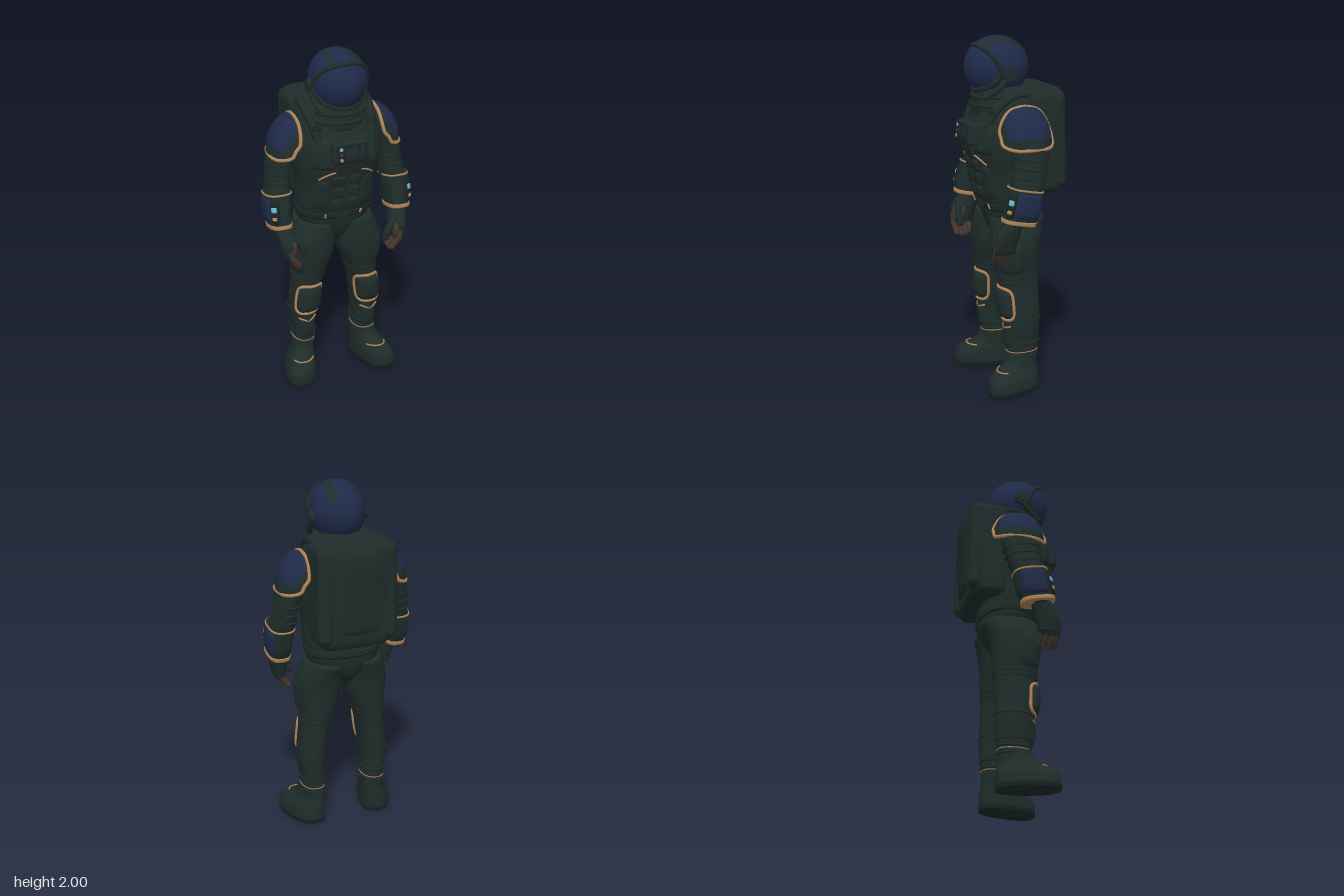
import * as THREE from 'three';
import { mergeVertices } from 'three/addons/utils/BufferGeometryUtils.js';
import { RoundedBoxGeometry } from 'three/addons/geometries/RoundedBoxGeometry.js';

const PI = Math.PI, FRONT = PI / 2;
const mat = (name, color, side = THREE.FrontSide) => Object.assign(new THREE.MeshStandardMaterial({ color, side }), { name });
const suit = mat('suit fabric', 0x1e2c2a, THREE.DoubleSide);
const dark = mat('dark rubber', 0x192422);
const navy = mat('navy shell', 0x1f2a49, THREE.DoubleSide);
const tan = mat('tan trim', 0xb08458);
const brown = mat('glove brown', 0x46362d);
const cyan = mat('cyan display', 0x66b4cf);

// Cross-sections: [y, centreX, centreZ, radiusX, radiusZ, squareness], rising in y
const LEG = [[.10, .19, -.005, .06, .088], [.2, .19, -.008, .061, .087], [.28, .19, -.005, .067, .1], [.4, .195, -.004, .075, .106],
  [.5, .184, .003, .081, .112], [.6, .172, .005, .082, .115], [.7, .156, .01, .1, .125], [.8, .141, .015, .127, .136],
  [.9, .133, .01, .131, .145], [1.0, .11, -.01, .11, .152]];
const BOOT = [[0, .232, .06, .088, .162, 2.5], [.03, .232, .06, .094, .165, 2.5], [.08, .227, .058, .09, .162, 2.4],
  [.115, .216, .044, .08, .147], [.14, .203, .016, .071, .115], [.17, .194, 0, .067, .098], [.22, .19, -.006, .063, .09]];
const ARM = [[1.02, .345, .1, .05, .06], [1.1, .352, .067, .062, .085], [1.2, .346, .04, .071, .088], [1.3, .332, .015, .066, .096],
  [1.4, .316, 0, .071, .104], [1.5, .285, 0, .08, .108], [1.58, .255, 0, .07, .095], [1.62, .235, 0, .04, .06]];
const CUFF = [[1.03, .355, .09, .06, .09, 2.8], [1.1, .356, .068, .066, .096, 2.8], [1.22, .35, .045, .07, .092, 2.8]];
const PALM = [[.87, .328, .155, .032, .056, 2.6], [.95, .333, .147, .047, .068, 2.6], [1.04, .345, .11, .047, .057]];
const PELVIS = [[.84, 0, -.01, .015, .07], [.92, 0, -.01, .1, .125], [1.0, 0, -.01, .2, .152], [1.08, 0, -.005, .215, .16]];
const TORSO = [[1.04, 0, -.005, .212, .16, 2.4], [1.12, 0, .01, .222, .175, 2.4], [1.25, 0, .02, .224, .186, 2.4], [1.38, 0, .032, .245, .2, 2.4],
  [1.5, 0, .024, .25, .196, 2.4], [1.6, 0, .014, .228, .172, 2.4], [1.68, 0, 0, .2, .135, 2.4], [1.73, 0, 0, .15, .1, 2.4]];
const PACK = [[1.13, 0, -.14, .19, .1, 5], [1.16, 0, -.14, .222, .112, 5], [1.4, 0, -.14, .232, .122, 5], [1.62, 0, -.143, .233, .128, 5],
  [1.69, 0, -.145, .228, .12, 5], [1.715, 0, -.15, .2, .095, 5]];
const PANEL = [[1.18, 0, -.2, .12, .04, 3], [1.23, 0, -.2, .158, .066, 3], [1.42, 0, -.2, .168, .078, 3], [1.6, 0, -.2, .168, .086, 3],
  [1.67, 0, -.2, .152, .078, 3], [1.705, 0, -.2, .11, .05, 3]];
const NECK = [[1.58, 0, .035, .175, .16], [1.65, 0, .045, .165, .155], [1.7, 0, .05, .145, .143], [1.73, 0, .055, .13, .13]];

// Smoothly interpolated cross-section at height y
function at(rings, y) {
  const last = rings.length - 1;
  let i = 0;
  while (i < last - 1 && y > rings[i + 1][0]) i++;
  const t = THREE.MathUtils.clamp((y - rings[i][0]) / (rings[i + 1][0] - rings[i][0]), 0, 1);
  const val = (k, j) => rings[Math.min(last, Math.max(0, k))][j] ?? 2.2;
  return [1, 2, 3, 4, 5].map(j => {
    const p = val(i, j), q = val(i + 1, j), m = (q - val(i - 1, j)) / 2, n = (val(i + 2, j) - p) / 2;
    return p + t * m + t * t * (3 * (q - p) - 2 * m - n) + t * t * t * (2 * (p - q) + m + n);
  });
}
// Point on a lofted surface at angle a; off pushes it outward
function on(rings, a, y, off = 0, { tilt = 0, shear = 0 } = {}, k = 1) {
  const [cx, cz, rx, rz, n] = at(rings, y);
  const x = sq(Math.cos(a), n) * (rx + off) * k, z = sq(Math.sin(a), n) * (rz + off) * k;
  return new THREE.Vector3(cx + x + shear * z, y + tilt * z, cz + z);
}
function grid(nu, nv, f) {
  const pos = [], idx = [], w = nv + 1;
  for (let i = 0; i <= nu; i++) for (let j = 0; j <= nv; j++) {
    pos.push(...f(i, j).toArray());
    if (i < nu && j < nv) {
      const p = i * w + j;
      idx.push(p, p + w, p + 1, p + w, p + w + 1, p + 1);
    }
  }
  let g = new THREE.BufferGeometry().setAttribute('position', new THREE.Float32BufferAttribute(pos, 3));
  g.setIndex(idx);
  g = mergeVertices(g, 1e-5);
  g.computeVertexNormals();
  return g;
}
function put(parent, name, geo, material, x = 0, y = 0, z = 0, rx = 0, ry = 0, rz = 0) {
  const m = new THREE.Mesh(geo, material);
  m.name = name; m.position.set(x, y, z); m.rotation.set(rx, ry, rz);
  parent.add(m);
  return m;
}
// Closed loft between two heights
function loft(rings, { y0 = rings[0][0], y1 = rings.at(-1)[0], off = 0, steps = 36, ...bend } = {}) {
  return grid(steps + 2, 40, (i, j) => {
    const y = y0 + (y1 - y0) * THREE.MathUtils.clamp((i - 1) / steps, 0, 1);
    return on(rings, (j % 40) / 40 * 2 * PI, y, off, bend, i === 0 || i === steps + 2 ? 0 : 1);
  });
}
const sq = (v, n) => Math.sign(v) * Math.abs(v) ** (2 / n);
// Rounded raised plate lying on a loft, centred at angle ca and height cy
function plate(rings, ca, cy, ra, ry, h, bend, n = 5) {
  return grid(32, 8, (i, j) => {
    const p = (i % 32) / 32 * 2 * PI, s = j / 8;
    return on(rings, ca + ra * s * sq(Math.cos(p), n), cy + ry * s * sq(Math.sin(p), n), h * (1 - s ** 6) + (j === 8 ? -.002 : .001), bend);
  });
}
const path = (pts, sx = 1) => pts.map(([x, y, z]) => new THREE.Vector3(sx * x, y, z));
const tube = (pts, r, closed = false, seg = 64) => new THREE.TubeGeometry(new THREE.CatmullRomCurve3(pts, closed), seg, r, 6, closed);
const loop = (n, f) => Array.from({ length: n }, (_, i) => f(i / n * 2 * PI));
const rim = (rings, ca, cy, ra, ry, off, r, n) => tube(loop(24, p => on(rings, ca + ra * sq(Math.cos(p), n), cy + ry * sq(Math.sin(p), n), off)), r, true, 96);
const hoop = (rings, y, off, r, bend) => tube(loop(20, p => on(rings, p, y, off, bend)), r, true);

// Copy of a group reflected to the other side
function mirrored(group, name) {
  const out = new THREE.Group();
  out.name = name;
  for (const m of group.children) {
    m.updateMatrix();
    const g = m.geometry.clone().applyMatrix4(m.matrix).scale(-1, 1, 1), idx = Array.from(g.index.array);
    for (let i = 0; i < idx.length; i += 3) [idx[i + 1], idx[i + 2]] = [idx[i + 2], idx[i + 1]];
    g.setIndex(idx);
    put(out, m.name, g, m.material);
  }
  return out;
}

function makeLeg() {
  const g = new THREE.Group(), bend = { shear: .22 };
  put(g, 'trouserLeg', loft(LEG), suit);
  put(g, 'kneePad', plate(LEG, FRONT, .518, .95, .09, .024, {}, 4), suit);
  put(g, 'kneePadTrim', rim(LEG, FRONT, .518, .98, .093, .004, .009, 4), tan);
  put(g, 'thighPocket', plate(LEG, .55, .79, .6, .095, .01), suit);
  put(g, 'shinPlate', plate(LEG, FRONT, .32, .7, .07, .008), suit);
  put(g, 'shinTrim', tube([.9, 1.3, 1.6, 1.9, 2.3].map((a, i) => on(LEG, a, .37 + .01 * Math.abs(i - 2), .004)), .005), tan);
  for (const y of [.64, .67, .42]) put(g, 'legFold', hoop(LEG, y, -.002, .006), suit);
  for (const y of [.2, .24, .28]) put(g, 'ankleFold', hoop(LEG, y, 0, .006), suit);
  put(g, 'ankleTrim', hoop(LEG, .225, .002, .003), tan);
  put(g, 'boot', loft(BOOT, bend), suit);
  put(g, 'sole', loft(BOOT, { y0: 0, y1: .028, off: .003, steps: 4, ...bend }), dark);
  put(g, 'bootTrim', tube([.7, 1.1, 1.57, 2.0, 2.4].map(a => on(BOOT, a, .128, .002, bend)), .005), tan);
  return g;
}

// Curved shoulder guard: angle t over the shoulder, z along it
function guard(t, z, off = 0) {
  const k = (1 - Math.abs(z / .158) ** 2.6) ** .5;
  return new THREE.Vector3(.224 + (.152 * k + off) * Math.cos(t), 1.425 + (.215 * k + off) * Math.sin(t), z + .007);
}

function makeArm() {
  const g = new THREE.Group(), bend = { tilt: .2 };
  put(g, 'sleeve', loft(ARM), suit);
  for (const y of [1.27, 1.32, 1.37]) put(g, 'sleeveFold', hoop(ARM, y, -.003, .007, bend), suit);
  // Shoulder guard: dark base, navy inset and tan edging
  const area = (p, s, t0, t1, z, off) => guard((t0 + t1) / 2 + (t1 - t0) / 2 * s * sq(Math.cos(p), 6), z * s * sq(Math.sin(p), 6), off);
  const dome = (...a) => grid(48, 14, (i, j) => area((i % 48) / 48 * 2 * PI, j / 14, ...a));
  put(g, 'shoulderGuard', dome(0, 1.5, .147, 0), suit);
  put(g, 'shoulderShell', dome(.27, 1.42, .125, .005), navy);
  put(g, 'shoulderTrim', tube(loop(48, p => area(p, 1, 0, 1.5, .147, 0)), .0105, true, 128), tan);
  // Wrist cuff
  put(g, 'cuff', loft(CUFF, bend), suit);
  put(g, 'cuffShell', plate(CUFF, -.12, 1.13, .8, .072, .008, bend), navy);
  put(g, 'cuffLowerTrim', loft(CUFF, { y0: 1.025, y1: 1.048, off: .004, steps: 3, ...bend }), tan);
  put(g, 'cuffUpperTrim', hoop(CUFF, 1.213, .001, .006, bend), tan);
  put(g, 'cuffPanel', plate(CUFF, 1.03, 1.125, .42, .07, .01, bend), dark);
  put(g, 'cuffDisplay', plate(CUFF, 1.0, 1.14, .28, .019, .014, bend), cyan);
  put(g, 'cuffButton', plate(CUFF, 1.0, 1.09, .24, .012, .014, bend), tan);
  // Hand
  put(g, 'glove', loft(PALM), suit);
  for (let i = 0; i < 4; i++) {
    const z = .115 + i * .029, d = Math.abs(i - 1.6) * .012;
    put(g, 'finger', tube(path([[.326, .93, z], [.328, .88, z + .003], [.312, .835 + d, z + .002], [.286, .8 + d, z - .003]]), .018, false, 12), brown);
    put(g, 'fingertip', new THREE.SphereGeometry(.018, 10, 8), brown, .286, .8 + d, z - .003);
    put(g, 'fingerGuard', tube(path([[.335, .94, z], [.337, .88, z + .003], [.325, .845 + d, z + .002]]), .0175, false, 8), suit);
  }
  put(g, 'thumb', tube(path([[.32, .99, .17], [.285, .96, .19], [.258, .92, .197], [.248, .885, .193]]), .022, false, 12), suit);
  put(g, 'thumbTip', new THREE.SphereGeometry(.022, 10, 8), suit, .248, .885, .193);
  put(g, 'palmPatch', plate(PALM, 2.5, .925, .7, .045, .005), brown);
  return g;
}

function makeTorso() {
  const g = new THREE.Group();
  put(g, 'pelvis', loft(PELVIS), suit);
  put(g, 'torso', loft(TORSO), suit);
  put(g, 'belt', loft(TORSO, { y0: 1.045, y1: 1.085, off: .005, steps: 4 }), suit);
  put(g, 'buckle', new RoundedBoxGeometry(.07, .045, .02, 2, .006), suit, 0, 1.065, .16);
  put(g, 'chestTrim', tube([-.65, -.45, -.25, 0, .25, .45, .65].map(a => on(TORSO, FRONT + a, 1.365 - .12 * a * a, .005)), .005), tan);
  for (const s of [-1, 1]) {
    for (let i = 0; i < 3; i++) put(g, 'bellyPlate', plate(TORSO, FRONT + s * .16, 1.145 + i * .075, .13, .034, .009, {}, 4), suit);
    put(g, 'sidePlate', plate(TORSO, FRONT + s * .55, 1.21, .22, .095, .009), suit);
    put(g, 'chestPlate', plate(TORSO, FRONT + s * .5, 1.46, .42, .09, .012), suit);
    put(g, 'beltClip', plate(TORSO, FRONT + s * .42, 1.065, .03, .018, .012), tan);
    const strap = [[.18, 1.69, -.09], [.185, 1.69, .03], [.17, 1.62, .13], [.15, 1.5, .19], [.145, 1.4, .215]];
    put(g, 'shoulderStrap', tube(path(strap, s), .024, false, 24), suit);
    put(g, 'strapClip', new RoundedBoxGeometry(.055, .03, .03, 2, .008), dark, s * .155, 1.6, .155, -.5);
  }
  // Chest control box
  const box = new THREE.Group();
  box.name = 'chestControl'; box.position.set(0, 1.475, .232); box.rotation.x = -.12;
  put(box, 'controlHousing', new RoundedBoxGeometry(.2, .125, .08, 4, .022), suit);
  put(box, 'lowerHousing', new RoundedBoxGeometry(.16, .08, .07, 4, .02), suit, 0, -.075, -.02, .4);
  put(box, 'controlFace', new RoundedBoxGeometry(.17, .1, .016, 2, .007), dark, 0, 0, .038);
  put(box, 'controlScreen', new THREE.BoxGeometry(.07, .05, .006), suit, 0, .008, .047);
  put(box, 'controlWindow', new THREE.BoxGeometry(.024, .05, .006), navy, .06, .012, .047);
  for (const [y, m] of [[.03, cyan], [0, brown], [-.03, tan]]) put(box, 'controlButton', new THREE.CylinderGeometry(.01, .01, .006, 12), m, -.06, y, .047, FRONT);
  g.add(box);
  return g;
}

function makeBackpack() {
  const g = new THREE.Group();
  put(g, 'packBody', loft(PACK, { steps: 48 }), suit);
  put(g, 'packPanel', loft(PANEL), suit);
  for (const s of [-1, 1]) put(g, 'packSide', new THREE.CapsuleGeometry(.044, .46, 8, 20), suit, s * .19, 1.435, -.222, .03);
  return g;
}

function makeHelmet() {
  const g = new THREE.Group(), c = new THREE.Vector3(0, 1.83, .067), r = new THREE.Vector3(.155, .17, .183);
  // Point on the helmet shell in the direction of a given point
  const shell = p => p.sub(c).divide(r).normalize().multiply(r).add(c);
  const ball = (t0, t1) => new THREE.SphereGeometry(1, 48, 28, 0, 2 * PI, t0, t1).scale(r.x, r.y, r.z);
  put(g, 'helmetShell', ball(0, .74 * PI), navy, ...c);
  put(g, 'helmetBase', ball(.74 * PI, .26 * PI), suit, ...c);
  const half = [[.075, 1.945, .18], [.13, 1.89, .13], [.15, 1.81, .1], [.125, 1.74, .15], [.07, 1.705, .2]];
  const frame = [[0, 1.955, .195], ...half, [0, 1.695, .21], ...half.slice().reverse().map(([x, y, z]) => [-x, y, z])];
  put(g, 'visorFrame', tube(path(frame).map(shell), .015, true, 96), suit);
  // Flush crown stripes running front to back: inner x, outer x, end angle
  for (const [x0, x1, end] of [[-.075, -.052, 2.4], [.045, .085, 2.6]]) {
    put(g, 'crownStripe', grid(24, 4, (i, j) => {
      const x = x0 + (x1 - x0) * j / 4, a = .8 + (end - .8) * i / 24, k = Math.sqrt(1 - (x / r.x) ** 2) + .014;
      return new THREE.Vector3(x, c.y + r.y * k * Math.sin(a), c.z + r.z * k * Math.cos(a));
    }), suit);
  }
  for (const s of [-1, 1]) {
    put(g, 'earDisc', new THREE.CylinderGeometry(.038, .043, .04, 24), suit, s * .148, 1.81, .055, 0, 0, -s * FRONT);
    put(g, 'earCap', new THREE.CylinderGeometry(.024, .028, .01, 20), suit, s * .168, 1.81, .055, 0, 0, -s * FRONT);
    put(g, 'jawStrut', tube(path([[.152, 1.8, .06], [.148, 1.74, .1], [.12, 1.69, .16]], s), .017, false, 12), suit);
  }
  put(g, 'helmetLamp', new RoundedBoxGeometry(.03, .022, .03, 2, .007), suit, -.09, 1.935, .165, -.5);
  // Neck rings
  put(g, 'neckCollar', loft(NECK, { steps: 16 }), suit);
  for (const y of [1.64, 1.685]) put(g, 'neckRing', hoop(NECK, y, 0, .012, { tilt: -.08 }), suit);
  return g;
}

export function createModel() {
  const model = new THREE.Group();
  model.name = 'astronaut';
  const add = (name, g) => { g.name = name; model.add(g); return g; };
  add('torso', makeTorso());
  add('backpack', makeBackpack());
  add('helmet', makeHelmet());
  model.add(mirrored(add('leftLeg', makeLeg()), 'rightLeg'));
  model.add(mirrored(add('leftArm', makeArm()), 'rightArm'));
  return model;
}
